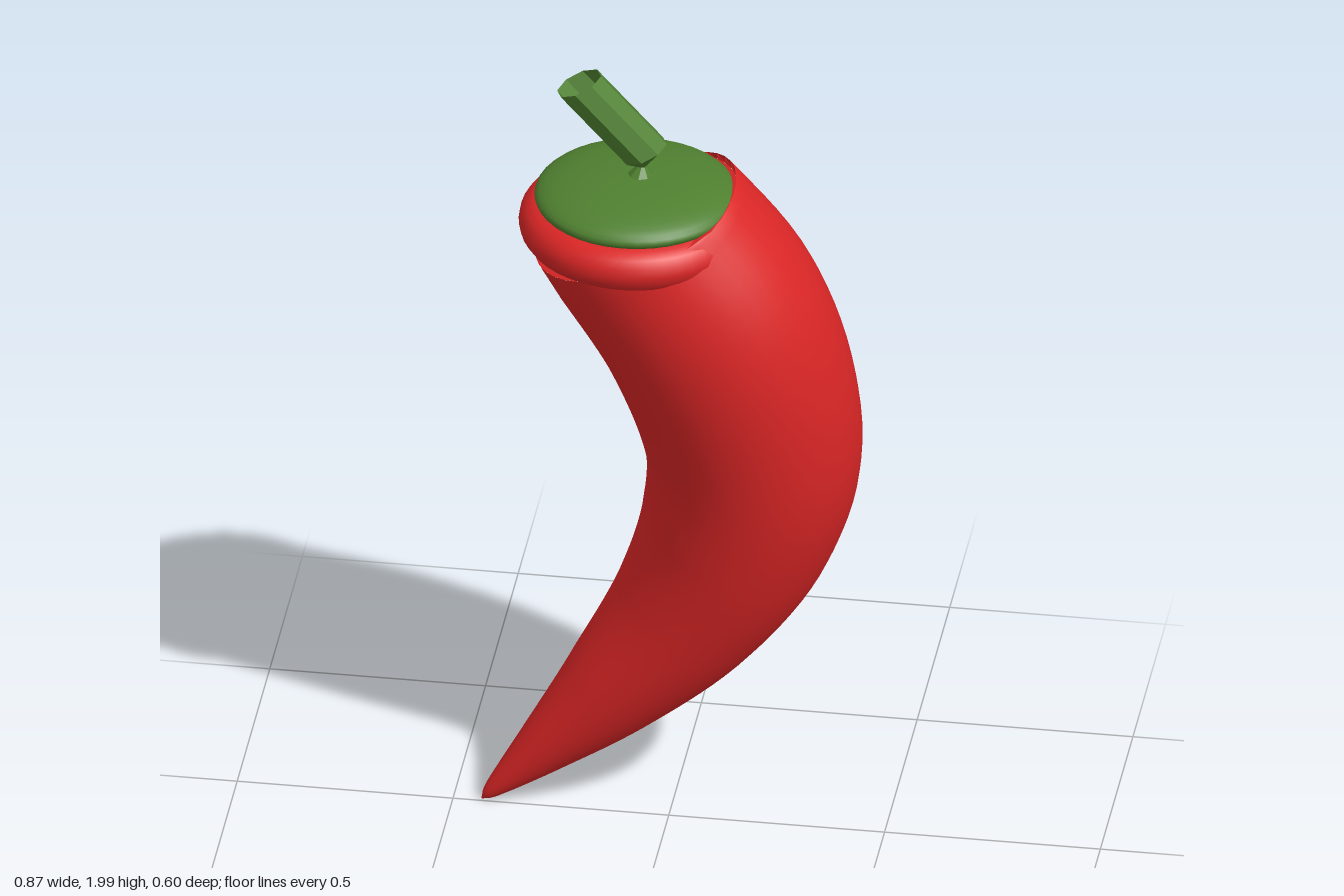
import * as THREE from 'three';

const red = new THREE.MeshStandardMaterial({ color: 0xdc2626 });
red.name = 'pepper red';
const green = new THREE.MeshStandardMaterial({ color: 0x4f8030, side: THREE.DoubleSide });
green.name = 'stem green';

// Skin over rings of { c: centre, t: direction, r: radius }, open at both ends
function loft(rings, sides) {
  const pos = [], idx = [];
  const u = new THREE.Vector3(), v = new THREE.Vector3(), zAxis = new THREE.Vector3(0, 0, 1);
  rings.forEach(({ c, t, r }, i) => {
    u.crossVectors(zAxis, t).normalize();
    v.crossVectors(t, u).normalize();
    for (let j = 0; j < sides; j++) {
      const a = (j / sides) * Math.PI * 2;
      const p = c.clone().addScaledVector(u, r * Math.cos(a)).addScaledVector(v, r * Math.sin(a));
      pos.push(p.x, p.y, p.z);
      if (i === rings.length - 1) continue;
      const k = (j + 1) % sides, n = i * sides, m = n + sides;
      idx.push(n + j, n + k, m + j, n + k, m + k, m + j);
    }
  });
  const g = new THREE.BufferGeometry();
  g.setAttribute('position', new THREE.Float32BufferAttribute(pos, 3));
  g.setIndex(idx);
  g.computeVertexNormals();
  return g;
}

export function createModel() {
  const model = new THREE.Group();
  model.name = 'chilliPepper';
  const add = (name, geometry, material, x = 0, y = 0, z = 0) => {
    const mesh = new THREE.Mesh(geometry, material);
    mesh.name = name;
    mesh.position.set(x, y, z);
    model.add(mesh);
    return mesh;
  };

  // Curved, tapering body: x, y, z, radius from the shoulder to the tip
  const spine = [
    [-0.07, 1.625, 0.033, 0.248],
    [0.105, 1.35, 0.0, 0.266],
    [0.188, 1.03, -0.045, 0.252],
    [0.15, 0.77, -0.065, 0.226],
    [0.035, 0.535, -0.067, 0.182],
    [-0.13, 0.325, -0.052, 0.127],
    [-0.285, 0.16, -0.032, 0.07],
    [-0.405, 0.04, -0.014, 0.023],
    [-0.434, 0.01, -0.009, 0.002],
  ];
  const path = new THREE.CatmullRomCurve3(
    spine.map(([x, y, z]) => new THREE.Vector3(x, y, z)), false, 'catmullrom');
  const radius = new THREE.CatmullRomCurve3(
    spine.map((s, i) => new THREE.Vector3(s[3], i, 0)), false, 'catmullrom');
  const rings = [];
  for (let i = 0; i <= 64; i++) {
    const t = i / 64;
    rings.push({ c: path.getPoint(t), t: path.getTangent(t), r: Math.max(0.002, radius.getPoint(t).x) });
  }
  rings[0].t.set(0.35, -0.935, -0.04).normalize();
  add('body', loft(rings, 40), red);

  // Slanted top of the body
  const top = add('bodyTop', new THREE.CircleGeometry(0.248, 40), red, -0.07, 1.625, 0.033);
  top.lookAt(top.position.clone().sub(rings[0].t));

  // Rounded shoulder ring
  const shoulder = new THREE.TorusGeometry(0.215, 0.055, 16, 48).rotateX(Math.PI / 2);
  add('shoulder', shoulder, red, -0.07, 1.624, 0.033);

  // Flattened leafy cap
  const cap = new THREE.SphereGeometry(1, 40, 20).scale(0.234, 0.055, 0.23);
  add('cap', cap, green, -0.07, 1.69, 0.033);

  // Faceted hollow stem with a pinched neck
  const tilt = new THREE.Vector3(-0.42, 0.9, 0).normalize();
  const up = new THREE.Vector3(0, 1, 0);
  const stemRings = [
    [-0.065, 1.725, 0.045, up],
    [-0.057, 1.767, 0.01, up],
    [-0.05, 1.806, 0.056, tilt],
    [-0.203, 1.974, 0.056, tilt],
  ].map(([x, y, r, t]) => ({ c: new THREE.Vector3(x, y, 0.033), t, r }));
  const stem = loft(stemRings, 8).toNonIndexed();
  stem.computeVertexNormals();
  add('stem', stem, green);

  return model;
}
